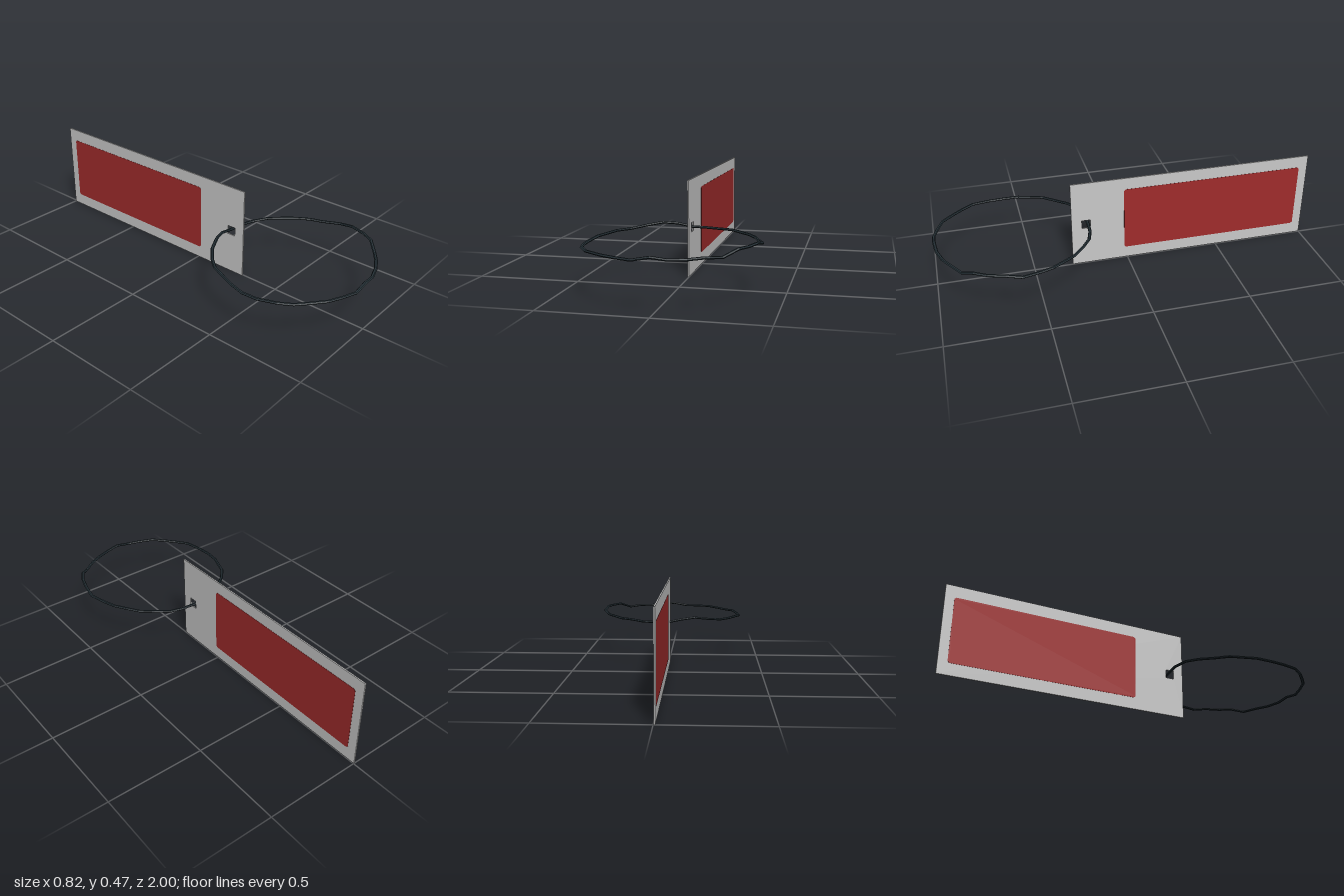
import * as THREE from 'three';

const PLATE_X = -0.005, PLATE_THICK = 0.007, PANEL_THICK = 0.001;

// Outline in the (z, y) plane with optionally clipped corners
function outline(path, z0, z1, y0, y1, c = 0) {
  const pts = c
    ? [[z0 + c, y0], [z1 - c, y0], [z1, y0 + c], [z1, y1 - c],
       [z1 - c, y1], [z0 + c, y1], [z0, y1 - c], [z0, y0 + c]]
    : [[z0, y0], [z1, y0], [z1, y1], [z0, y1]];
  path.setFromPoints(pts.map(([z, y]) => new THREE.Vector2(z, y)));
  return path;
}

// Extrude a (z, y) shape along x, centred on the given x
function slab(name, shape, thick, x, material) {
  const geo = new THREE.ExtrudeGeometry(shape, { depth: thick, bevelEnabled: false });
  geo.translate(0, 0, -thick / 2).rotateY(-Math.PI / 2);
  const mesh = new THREE.Mesh(geo, material);
  mesh.name = name;
  mesh.position.x = x;
  return mesh;
}

export function createModel() {
  const model = new THREE.Group();
  model.name = 'tagWithCord';

  const grey = new THREE.MeshStandardMaterial({ color: 0xcacaca, name: 'lightGrey' });
  const red = new THREE.MeshStandardMaterial({ color: 0xa02c2c, name: 'darkRed' });
  const dark = new THREE.MeshStandardMaterial({ color: 0x263238, name: 'cordBlueBlack' });
  dark.flatShading = true;

  // Thin plate with a small square hole for the cord
  const plate = outline(new THREE.Shape(), -1, 0.297, 0, 0.475);
  plate.holes.push(outline(new THREE.Path(), 0.197, 0.243, 0.212, 0.258));
  model.add(slab('plate', plate, PLATE_THICK, PLATE_X, grey));

  // Coloured panel on each face
  const panel = outline(new THREE.Shape(), -0.953, 0.017, 0.063, 0.411, 0.009);
  for (const side of [-1, 1]) {
    const x = PLATE_X + side * (PLATE_THICK + PANEL_THICK) / 2;
    model.add(slab(side > 0 ? 'leftPanel' : 'rightPanel', panel, PANEL_THICK, x, red));
  }

  // Uneven cord loop, starting in the hole and running round by -x
  const path = [
    [0, 0.235, 0.21], [-0.075, 0.25, 0.215], [-0.145, 0.257, 0.24], [-0.22, 0.245, 0.275],
    [-0.285, 0.235, 0.33], [-0.335, 0.235, 0.39], [-0.385, 0.23, 0.52], [-0.4, 0.222, 0.6],
    [-0.395, 0.222, 0.68], [-0.37, 0.228, 0.77], [-0.33, 0.226, 0.83], [-0.28, 0.23, 0.88],
    [-0.22, 0.234, 0.935], [-0.15, 0.233, 0.965], [-0.08, 0.232, 0.988], [0, 0.247, 0.987],
    [0.07, 0.238, 0.98], [0.145, 0.237, 0.955], [0.21, 0.24, 0.92], [0.275, 0.235, 0.875],
    [0.33, 0.261, 0.82], [0.365, 0.261, 0.76], [0.39, 0.261, 0.68], [0.4, 0.247, 0.605],
    [0.37, 0.24, 0.515], [0.35, 0.24, 0.455], [0.31, 0.24, 0.39], [0.27, 0.237, 0.335],
    [0.21, 0.239, 0.28], [0.14, 0.234, 0.235], [0.07, 0.234, 0.215],
  ];
  const flatten = 0.75; // the cord is a little wider than tall
  const curve = new THREE.CatmullRomCurve3(
    path.map(([x, y, z]) => new THREE.Vector3(x, y / flatten, z)), true);
  // Put one ring of the tube on each bend
  curve.getPointAt = curve.getPoint;
  curve.getTangentAt = curve.getTangent;
  const cordGeo = new THREE.TubeGeometry(curve, path.length, 0.0085, 6, true);
  cordGeo.scale(1, flatten, 1);
  const cord = new THREE.Mesh(cordGeo, dark);
  cord.name = 'cord';
  model.add(cord);

  return model;
}
